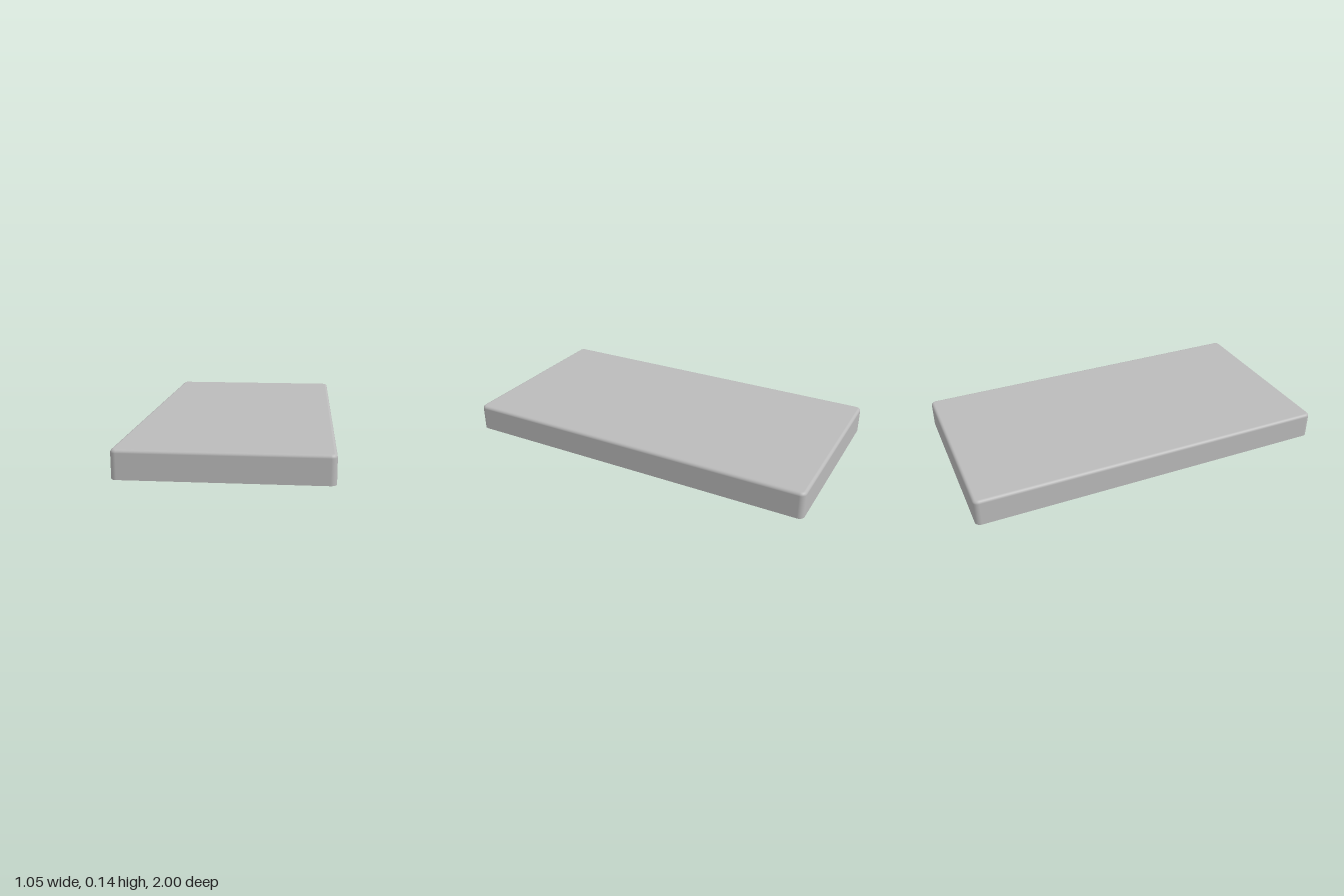
import * as THREE from 'three';

const HW = 0.525, HD = 1, H = 0.145;         // half width, half length, height
const WALL = 0.025, CORNER = 0.03, FILLET = 0.017;
const CEILING = 0.1, POCKET = 0.025;         // underside level and pocket depth

// Points of a rounded rectangle, moved inwards by inset, with outward normals
function ring(inset, seg = 6) {
  const pts = [];
  [[1, 1], [-1, 1], [-1, -1], [1, -1]].forEach(([sx, sz], q) => {
    for (let k = 0; k <= seg; k++) {
      const a = (q + k / seg) * Math.PI / 2, nx = Math.cos(a), nz = Math.sin(a);
      pts.push({
        x: sx * (HW - CORNER) + (CORNER - inset) * nx,
        z: sz * (HD - CORNER) + (CORNER - inset) * nz, nx, nz,
      });
    }
  });
  return pts;
}

// Strips between profile points [inset, y]; each strip carries its end normals [out, up]
function loft(strips) {
  const pos = [], nor = [], idx = [];
  for (const strip of strips) {
    const base = pos.length / 3;
    let n = 0;
    strip.forEach(([inset, y, out, up], j) => {
      const pts = ring(inset);
      n = pts.length;
      for (const p of pts) {
        pos.push(p.x, y, p.z);
        nor.push(p.nx * out, up, p.nz * out);
      }
      if (j === 0) return;
      for (let k = 0; k < n; k++) {
        const a = base + (j - 1) * n + k, b = base + (j - 1) * n + (k + 1) % n;
        idx.push(a, a + n, b, b, a + n, b + n);
      }
    });
  }
  const g = new THREE.BufferGeometry();
  g.setAttribute('position', new THREE.Float32BufferAttribute(pos, 3));
  g.setAttribute('normal', new THREE.Float32BufferAttribute(nor, 3));
  g.setIndex(idx);
  return g;
}

// Inner plate with staggered hexagonal pockets, trimmed to a rectangle
function pocketPlate() {
  const pitch = 0.094, rad = 0.043, limX = 4 * pitch, limZ = 0.83;
  const x = HW - 0.015, z = HD - 0.015;
  const shape = new THREE.Shape([[-x, -z], [x, -z], [x, z], [-x, z]].map(p => new THREE.Vector2(...p)));
  for (let row = -10; row <= 10; row++) {
    const odd = Math.abs(row) % 2;
    for (let c = 0; c < 8 + odd; c++) {
      const cx = (c - (7 + odd) / 2) * pitch, cz = row * pitch * Math.sqrt(3) / 2;
      const pts = [];
      for (let k = 0; k < 6; k++) {
        const a = (k + 0.5) * Math.PI / 3;
        pts.push(new THREE.Vector2(
          THREE.MathUtils.clamp(cx + rad * Math.cos(a), -limX, limX),
          THREE.MathUtils.clamp(cz + rad * Math.sin(a), -limZ, limZ)));
      }
      // drop corners that coincide after trimming
      shape.holes.push(new THREE.Path(pts.filter((p, i) => p.distanceTo(pts[(i + 1) % 6]) > 1e-4)));
    }
  }
  return new THREE.ExtrudeGeometry(shape, { depth: POCKET, bevelEnabled: false }).rotateX(-Math.PI / 2);
}

export function createModel() {
  const group = new THREE.Group();
  const grey = new THREE.MeshStandardMaterial({ color: 0xbababa });
  grey.name = 'grey';
  const add = (name, geometry, x = 0, y = 0, z = 0) => {
    const m = new THREE.Mesh(geometry, grey);
    m.name = name;
    m.position.set(x, y, z);
    group.add(m);
    return m;
  };

  // Walls: inner face, flat rim, outer face running into the rounded top edge
  const outer = [[0, 0, 1, 0]];
  for (let i = 0; i <= 6; i++) {
    const a = i / 6 * Math.PI / 2;
    outer.push([FILLET * (1 - Math.cos(a)), H - FILLET + FILLET * Math.sin(a), Math.cos(a), Math.sin(a)]);
  }
  add('walls', loft([
    [[WALL, CEILING + 0.005, -1, 0], [WALL, 0, -1, 0]],
    [[WALL, 0, 0, -1], [0, 0, 0, -1]],
    outer,
  ]));

  // Flat top
  const topShape = new THREE.Shape(ring(FILLET).map(p => new THREE.Vector2(p.x, p.z)));
  add('topPanel', new THREE.ShapeGeometry(topShape).rotateX(-Math.PI / 2), 0, H, 0);

  // Underside: pocketed plate and the pocket floors
  add('honeycombPlate', pocketPlate(), 0, CEILING, 0);
  add('pocketFloor', new THREE.PlaneGeometry(0.9, 1.8).rotateX(Math.PI / 2), 0, CEILING + POCKET, 0);

  // Snap bumps on the inner long walls
  for (const sx of [-1, 1]) for (const sz of [-1, 1]) {
    add('snapBump', new THREE.SphereGeometry(0.018, 20, 14), sx * (HW - WALL), 0.05, sz * 0.615);
  }
  return group;
}
